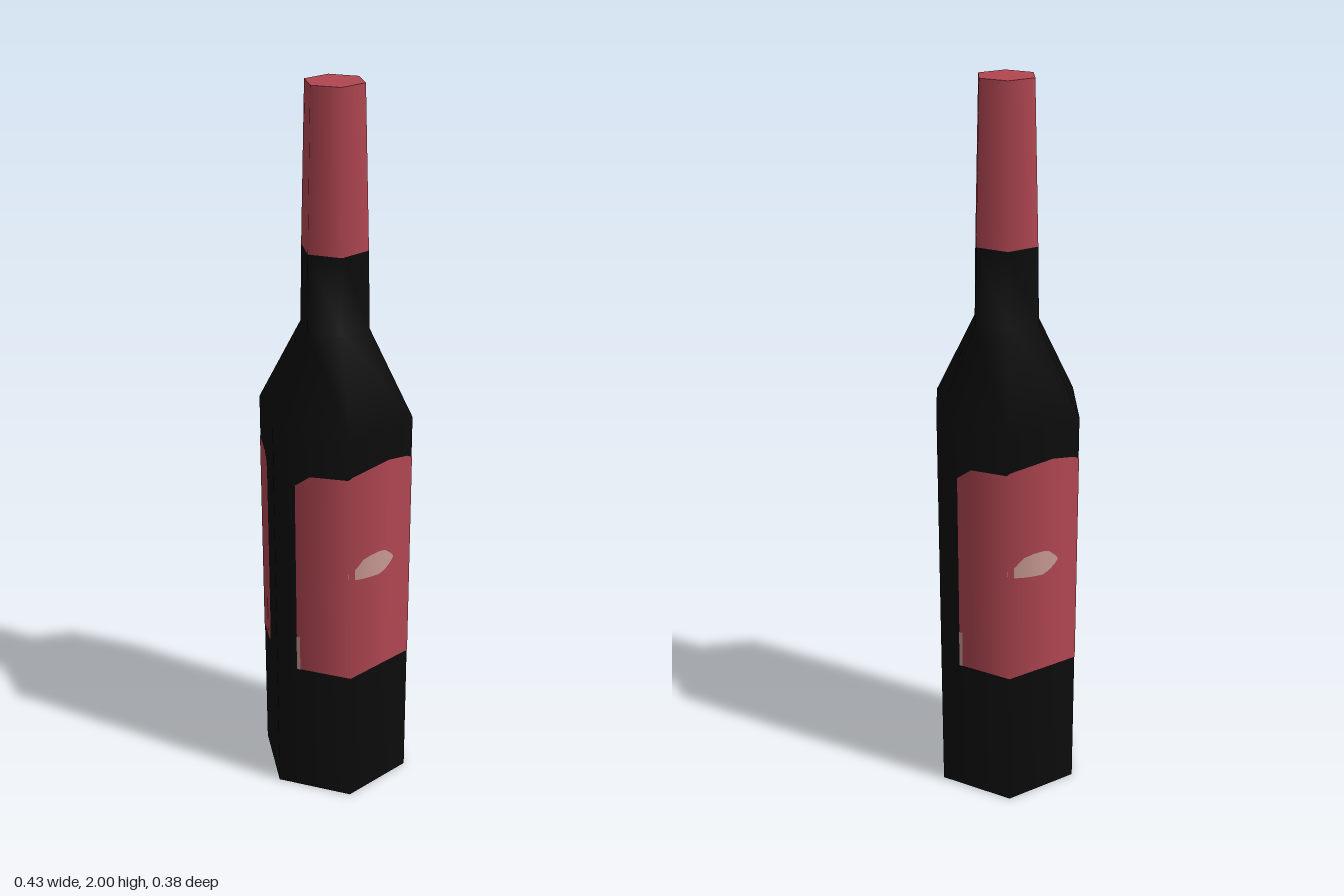
import * as THREE from 'three';

const R = 0.216; // body corner radius
const SIDES = 6;

const material = (name, color, side = THREE.FrontSide) => {
  const m = new THREE.MeshStandardMaterial({ color, side });
  m.name = name;
  return m;
};

// Depth of the hexagonal body surface at a given x
const surfaceZ = (x) => Math.sqrt(3) * Math.min(R / 2, R - Math.abs(x));

// Thin sheet wrapped on the body; columns are [x, bottom, top], left to right
function wrappedSheet(columns, lift) {
  const pos = [], nor = [], idx = [];
  columns.forEach(([x, bottom, top], i) => {
    const z = surfaceZ(x);
    const len = Math.hypot(x, z);
    for (const y of [bottom, top]) {
      pos.push(x * lift, y, z * lift);
      nor.push(x / len, 0, z / len);
    }
    const a = i * 2;
    if (i > 0) idx.push(a - 2, a, a - 1, a, a + 1, a - 1);
  });
  const g = new THREE.BufferGeometry();
  g.setAttribute('position', new THREE.Float32BufferAttribute(pos, 3));
  g.setAttribute('normal', new THREE.Float32BufferAttribute(nor, 3));
  g.setIndex(idx);
  return g;
}

// Six-sided turned surface from [radius, height] pairs
function turned(profile) {
  const points = profile.map(([r, y]) => new THREE.Vector2(r, y));
  return new THREE.LatheGeometry(points, SIDES, Math.PI / 2);
}

export function createModel() {
  const glass = material('black glass', 0x0c0c0c);
  const red = material('red paper', 0xb04651);
  const pale = material('pale print', 0xc99a94);

  const model = new THREE.Group();
  model.name = 'bottle';
  const add = (parent, name, geometry, mat) => {
    const mesh = new THREE.Mesh(geometry, mat);
    mesh.name = name;
    parent.add(mesh);
    return mesh;
  };

  // Bottle body, shoulder and neck
  add(model, 'body', turned([[R, 0], [R, 1.135], [0.095, 1.37], [0.091, 1.58]]), glass);
  add(model, 'base', new THREE.CircleGeometry(R, SIDES).rotateX(Math.PI / 2), glass);

  // Foil around the mouth
  add(model, 'foil', turned([[0.091, 1.58], [0.079, 2]]), red);
  add(model, 'foilTop', new THREE.CircleGeometry(0.079, SIDES).rotateX(-Math.PI / 2).translate(0, 2, 0), red);

  // Front and back labels
  const labelColumns = [
    [-0.186, 0.403, 0.98], [-0.165, 0.403, 1.012], [-0.112, 0.403, 1.018],
    [-0.108, 0.403, 1.027], [0.025, 0.403, 1.037], [0.09, 0.403, 1.027],
    [0.108, 0.403, 1.018], [0.148, 0.403, 1.012], [0.16, 0.415, 0.995], [0.165, 0.45, 0.975],
  ];
  const ovalColumns = [
    [-0.112, 0.722, 0.738], [-0.09, 0.715, 0.749], [-0.065, 0.709, 0.768],
    [-0.035, 0.704, 0.772], [-0.005, 0.701, 0.772], [0.015, 0.708, 0.768],
    [0.035, 0.724, 0.75], [0.044, 0.736, 0.739],
  ];
  const edgeColumns = [[-0.186, 0.403, 0.51], [-0.181, 0.403, 0.51]];

  for (const [name, turn] of [['frontLabel', 0], ['backLabel', Math.PI]]) {
    const label = new THREE.Group();
    label.name = name;
    label.rotation.y = turn;
    add(label, 'labelPaper', wrappedSheet(labelColumns, 1.006), red);
    add(label, 'labelOval', wrappedSheet(ovalColumns, 1.012), pale);
    add(label, 'labelEdgeMark', wrappedSheet(edgeColumns, 1.012), pale);
    model.add(label);
  }
  return model;
}
